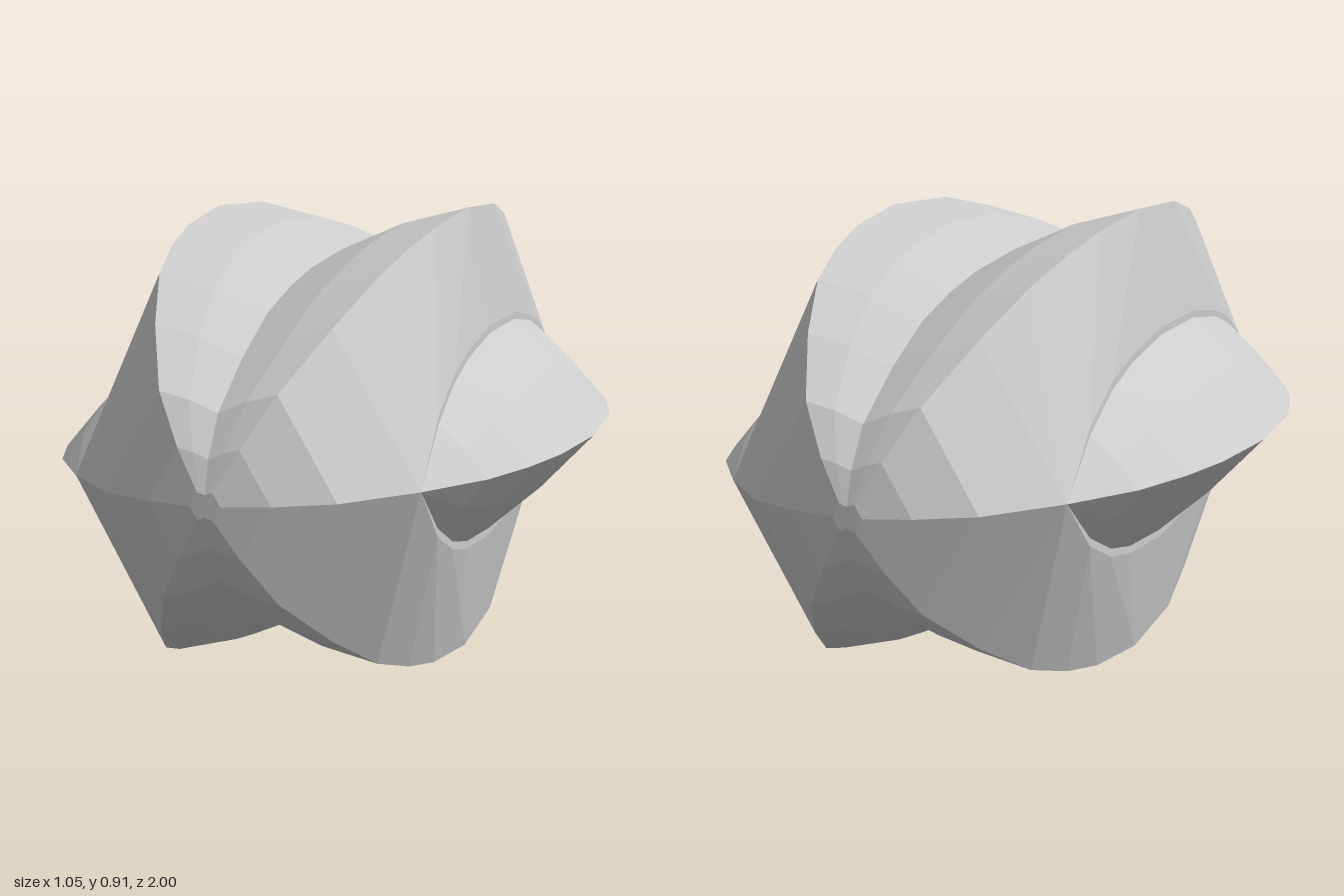
import * as THREE from 'three';
import { ConvexGeometry } from 'three/addons/geometries/ConvexGeometry.js';

const CENTRE_Y = 0.455;
const SEAM_X = 0.312; // plane where the side ridges leave the body

// z station, overall scale of the star section, half height of the side ridge's root
const STATIONS = [
  [0.15, 1, 0.203], [0.38, 0.935, 0.178], [0.52, 0.865, 0.148], [0.66, 0.765, 0.093],
  [0.8, 0.595, 0], [0.93, 0.385, 0], [0.98, 0.2, 0], [1, 0.05, 0],
];

// Convex body: one upper and one lower ridge on one side of the middle seam
function bodyPoints() {
  const pts = [];
  for (const [z, f, root] of STATIONS) for (const sz of [-1, 1]) for (const sy of [-1, 1]) {
    const add = (x, y) => pts.push(new THREE.Vector3(x, y * sy, z * sz));
    add(0, 0.367 * f);
    add(0.13 * f, 0.422 * f);
    add(0.265 * f, 0.455 * f);
    if (root > 0) add(SEAM_X, root + 0.015);
    else add(0.525 * f, 0);
  }
  return pts;
}

// Wedge-shaped side ridge standing on the seam plane
function sidePoints() {
  const pts = [];
  for (const [z, f, root] of STATIONS) {
    if (z > 0.8) continue;
    const tip = 0.525 * f;
    for (const sz of [-1, 1]) {
      pts.push(new THREE.Vector3(tip, 0, z * sz));
      if (root > 0) for (const sy of [-1, 1]) {
        pts.push(new THREE.Vector3(SEAM_X, root * sy, z * sz));
        pts.push(new THREE.Vector3((SEAM_X + tip) / 2, root * 0.55 * sy, z * sz));
      }
    }
  }
  return pts;
}

export function createModel() {
  const group = new THREE.Group();
  group.name = 'starFruit';
  const material = new THREE.MeshStandardMaterial({ color: 0xcccccc, flatShading: true });

  // Each half is the same pair of hulls, turned half way round for the right side
  for (const [side, angle] of [['left', 0], ['right', Math.PI]]) {
    for (const [part, points] of [['Body', bodyPoints()], ['SideRidge', sidePoints()]]) {
      const mesh = new THREE.Mesh(new ConvexGeometry(points), material);
      mesh.name = side + part;
      mesh.rotation.y = angle;
      mesh.position.y = CENTRE_Y;
      group.add(mesh);
    }
  }
  return group;
}
